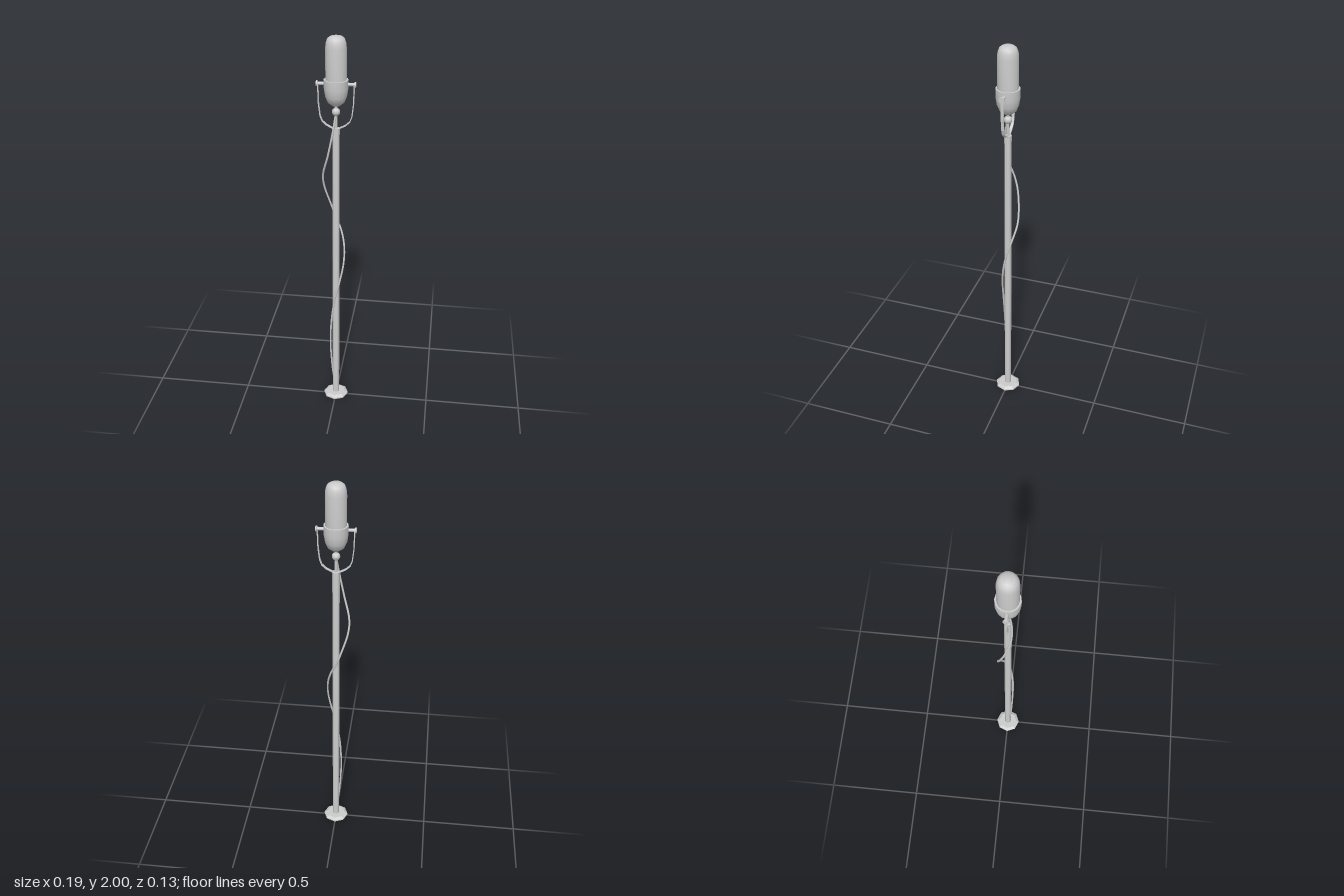
import * as THREE from 'three';
import { toCreasedNormals } from 'three/addons/utils/BufferGeometryUtils.js';

const smooth = new THREE.MeshStandardMaterial({ color: 0xcccccc });
const flat = new THREE.MeshStandardMaterial({ color: 0xcccccc, flatShading: true });

export function createModel() {
  const model = new THREE.Group();
  model.name = 'standingMicrophone';

  const add = (name, geometry, x = 0, y = 0, z = 0, material = smooth) => {
    const mesh = new THREE.Mesh(geometry, material);
    mesh.name = name;
    mesh.position.set(x, y, z);
    model.add(mesh);
    return mesh;
  };
  const lathe = (profile, sides) => toCreasedNormals(
    new THREE.LatheGeometry(profile.map(([r, y]) => new THREE.Vector2(r, y)), sides), 0.75);

  // Octagonal foot and pole
  add('base', lathe([[0, 0], [0.06, 0], [0.066, 0.006], [0.066, 0.012], [0.05, 0.022], [0, 0.022]], 8), 0, 0, 0, flat);
  add('pole', toCreasedNormals(new THREE.CylinderGeometry(0.018, 0.018, 1.55, 12), 0.7), 0, 0.785, 0);

  // Stem, swivel ball and neck under the head
  add('stem', new THREE.CylinderGeometry(0.007, 0.007, 0.09, 8), 0, 1.595, 0);
  add('swivelBall', new THREE.SphereGeometry(0.02, 12, 8), 0, 1.64, 0);
  add('neck', new THREE.CylinderGeometry(0.008, 0.008, 0.03, 8), 0, 1.665, 0);

  // Rounded lower cup and tall domed grille
  add('cup', lathe([[0, 1.67], [0.02, 1.672], [0.04, 1.688], [0.052, 1.717], [0.058, 1.755],
    [0.058, 1.797], [0.049, 1.797]], 16));
  add('grille', lathe([[0.05, 1.79], [0.05, 1.945], [0.047, 1.97], [0.04, 1.988], [0.028, 1.997], [0, 2]], 16));

  // Outline of one flat fork arm, thickened along its normals
  const path = [[0.086, 1.775], [0.083, 1.68], [0.076, 1.62], [0.066, 1.593], [0.045, 1.574], [0.008, 1.555]]
    .map(([x, y]) => new THREE.Vector2(x, y));
  const offset = (d) => path.map((p, i) => {
    const t = path[Math.min(i + 1, path.length - 1)].clone().sub(path[Math.max(i - 1, 0)]).normalize();
    return new THREE.Vector2(p.x - t.y * d, p.y + t.x * d);
  });
  const armShape = new THREE.Shape([...offset(0.0025), ...offset(-0.0025).reverse()]);
  const armGeometry = new THREE.ExtrudeGeometry(armShape, { depth: 0.014, bevelEnabled: false });
  armGeometry.translate(0, 0, -0.007);

  // Fork arms, pivot pins and end knobs on both sides
  for (const [side, s] of [['left', 1], ['right', -1]]) {
    const arm = add(side + 'ForkArm', armGeometry);
    if (s < 0) arm.rotation.y = Math.PI;
    add(side + 'Pivot', new THREE.CylinderGeometry(0.008, 0.008, 0.045, 10), s * 0.071, 1.775, 0).rotation.z = Math.PI / 2;
    add(side + 'Knob', new THREE.CylinderGeometry(0.014, 0.014, 0.007, 12), s * 0.0905, 1.775, 0).rotation.z = Math.PI / 2;
  }

  // Cable winding loosely round the pole
  const cable = new THREE.CatmullRomCurve3([
    [0, 1.635, 0.004], [-0.012, 1.55, 0.018], [-0.038, 1.42, 0.017], [-0.066, 1.31, -0.012],
    [-0.062, 1.24, -0.03], [-0.032, 1.14, -0.046], [-0.008, 1.07, -0.047], [0.02, 1.01, -0.035],
    [0.04, 0.93, -0.012], [0.041, 0.84, 0.009], [0.022, 0.73, 0.023], [0, 0.64, 0.027],
    [-0.02, 0.5, 0.026], [-0.026, 0.35, 0.022], [-0.019, 0.2, 0.016], [-0.01, 0.11, 0.01],
  ].map((p) => new THREE.Vector3(...p)));
  add('cable', new THREE.TubeGeometry(cable, 64, 0.005, 6));

  return model;
}
